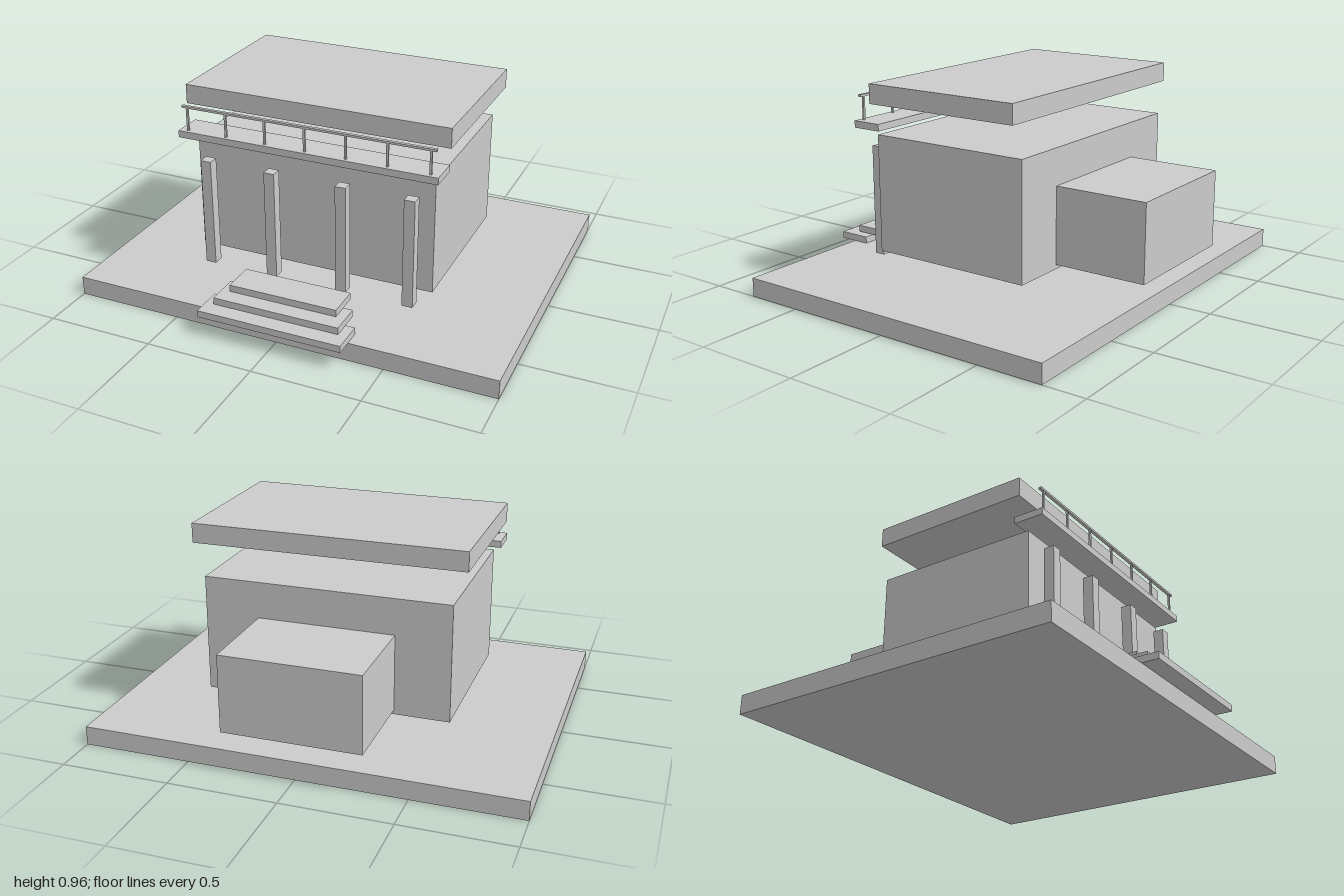
import * as THREE from 'three';

const material = new THREE.MeshStandardMaterial({ color: 0xcccccc, flatShading: true });

// Box given by its extents along each axis
function block(name, [x0, x1], [y0, y1], [z0, z1]) {
  const mesh = new THREE.Mesh(new THREE.BoxGeometry(x1 - x0, y1 - y0, z1 - z0), material);
  mesh.position.set((x0 + x1) / 2, (y0 + y1) / 2, (z0 + z1) / 2);
  mesh.name = name;
  return mesh;
}

// Box symmetric about x = 0
const centred = (name, halfWidth, y, z) => block(name, [-halfWidth, halfWidth], y, z);

export function createModel() {
  const model = new THREE.Group();
  model.name = 'pavilionHouse';

  // Main masses
  model.add(
    centred('groundSlab', 1, [0, 0.088], [-0.804, 0.767]),
    centred('mainBuilding', 0.57, [0.175, 0.718], [-0.409, 0.377]),
    centred('rearAnnex', 0.317, [0.195, 0.55], [-0.846, -0.409]),
    centred('roofSlab', 0.627, [0.867, 0.957], [-0.402, 0.369]),
  );

  // Entrance steps, each one narrower and further back
  const steps = new THREE.Group();
  steps.name = 'entranceSteps';
  for (let i = 0; i < 3; i++) {
    const y = 0.088 + i * 0.035;
    const z = 0.692 - i * 0.072;
    steps.add(centred('step', 0.34 - i * 0.042, [y, y + 0.032], [z, z + 0.154]));
  }
  model.add(steps);

  // Square front columns
  const columns = new THREE.Group();
  columns.name = 'frontColumns';
  for (const x of [-0.487, -0.171, 0.171, 0.487]) {
    columns.add(block('column', [x - 0.025, x + 0.025], [0.132, 0.645], [0.417, 0.467]));
  }
  model.add(columns);

  // Balcony slab with railing
  const balcony = new THREE.Group();
  balcony.name = 'balcony';
  balcony.add(
    centred('balconySlab', 0.612, [0.745, 0.777], [0.335, 0.476]),
    centred('handrail', 0.597, [0.884, 0.894], [0.448, 0.463]),
  );
  for (let i = 0; i < 7; i++) {
    const x = -0.572 + (i * 1.144) / 6;
    balcony.add(block('railingPost', [x - 0.005, x + 0.005], [0.777, 0.884], [0.451, 0.46]));
  }
  model.add(balcony);

  return model;
}
